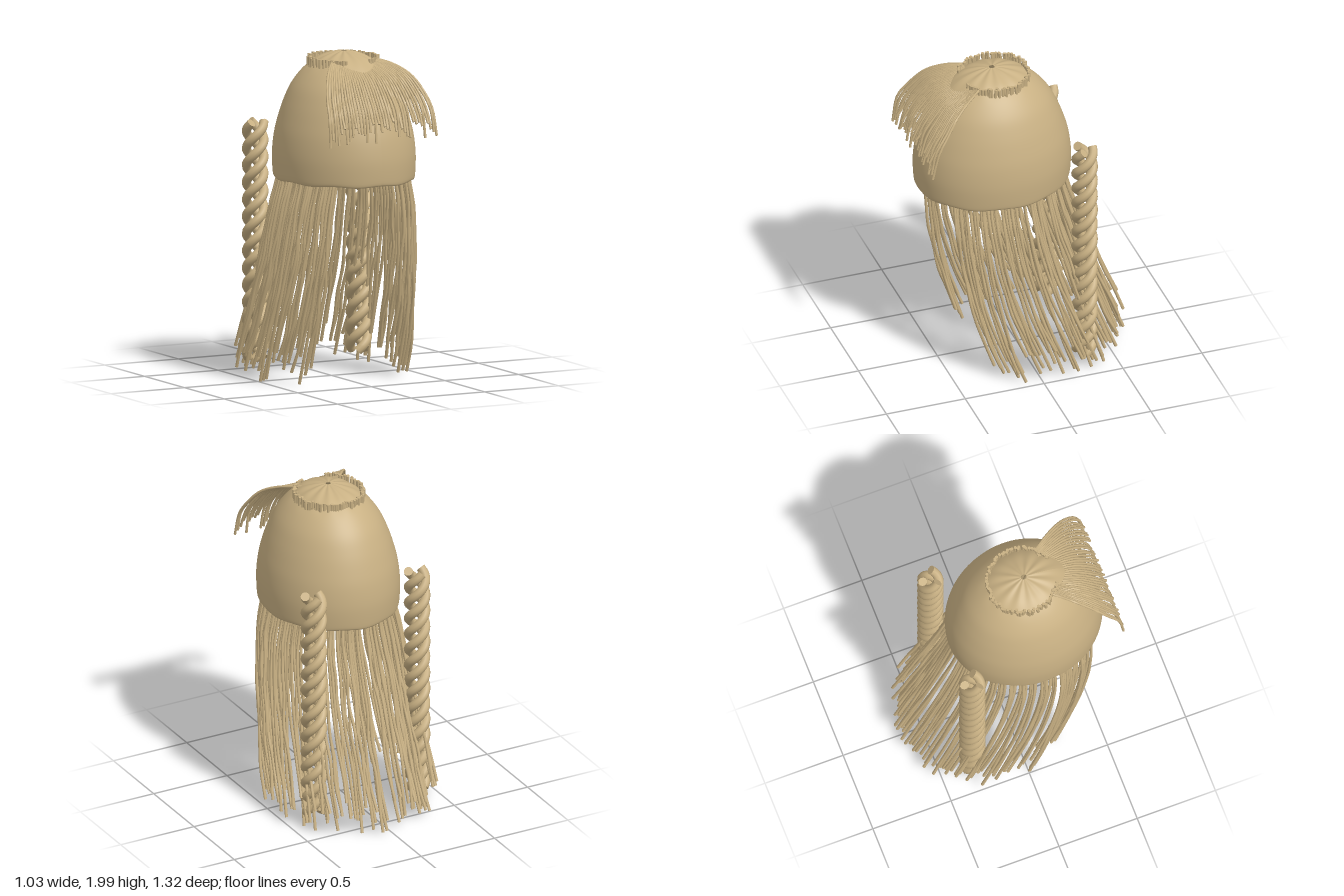
import * as THREE from 'three';
import { mergeGeometries, toCreasedNormals } from 'three/addons/utils/BufferGeometryUtils.js';

const material = new THREE.MeshStandardMaterial({ color: 0xc8b083, side: THREE.DoubleSide });
const CENTRE_Z = 0.155;
const DEPTH = 1.16; // the cap is longer front to back than it is wide

function seeded(seed) {
  let s = seed;
  return () => {
    s = (s * 16807) % 2147483647;
    return s / 2147483647;
  };
}

function mesh(name, geometry) {
  const m = new THREE.Mesh(geometry, material);
  m.name = name;
  return m;
}

// Tube with flat closed ends: the outer rings fold onto the centre of each end
function strand(points, radius, segments, sides) {
  const curve = new THREE.CatmullRomCurve3(points);
  const g = new THREE.TubeGeometry(curve, segments, radius, sides, false);
  const p = g.attributes.position;
  const ring = sides + 1;
  for (const [end, next, at] of [[0, 1, 0], [segments, segments - 1, 1]]) {
    const c = curve.getPointAt(at);
    for (let j = 0; j < ring; j++) {
      const a = end * ring + j;
      p.setXYZ(next * ring + j, p.getX(a), p.getY(a), p.getZ(a));
      p.setXYZ(a, c.x, c.y, c.z);
    }
  }
  return toCreasedNormals(g, 1.2);
}

// Domed cap with a small hole, pleats round the crown and a gently wavy rim
function makeCap() {
  const profile = new THREE.SplineCurve([
    [0.402, 1.235], [0.41, 1.26], [0.414, 1.38], [0.402, 1.5], [0.379, 1.6], [0.347, 1.7],
    [0.302, 1.8], [0.235, 1.89], [0.16, 1.955], [0.08, 1.988], [0.015, 2],
  ].map(([x, y]) => new THREE.Vector2(x, y)));
  const g = new THREE.LatheGeometry(profile.getPoints(50), 96);
  const p = g.attributes.position;
  for (let i = 0; i < p.count; i++) {
    const x = p.getX(i), y = p.getY(i), z = p.getZ(i);
    const a = Math.atan2(x, z), r = Math.hypot(x, z);
    const pleat = y > 1.8 ? 0.003 * Math.sin(Math.PI * Math.min(1, r / 0.24)) : 0;
    const rim = 0.004 * Math.max(0, 1 - (y - 1.235) / 0.08);
    p.setXYZ(i, x, y + pleat * (Math.cos(a * 12) - 1) + rim * Math.cos(a * 9), z * DEPTH + CENTRE_Z);
  }
  g.computeVertexNormals();
  return mesh('cap', g);
}

// Ring of short upright stubs round the crown, open at the front
function makeCrownStubs() {
  const rand = seeded(11);
  const parts = [];
  const count = 78;
  for (let i = 0; i < count; i++) {
    const a = 0.44 + ((i + 0.7 * (rand() - 0.5)) / (count - 1)) * (Math.PI * 2 - 0.88);
    const r = 0.203 + 0.016 * (rand() - 0.5);
    const h = 0.054 + 0.01 * rand();
    const stub = new THREE.CylinderGeometry(0.0095, 0.0095, h, 8);
    stub.rotateX((rand() - 0.5) * 0.3);
    stub.translate(Math.sin(a) * r, 1.907 + h / 2, 0.145 + Math.cos(a) * r * 1.04);
    parts.push(stub);
  }
  return mesh('crownStubs', mergeGeometries(parts));
}

// Fringe emerging through the cap below the crown and falling over the front
function makeFringe() {
  const rand = seeded(23);
  const parts = [];
  const count = 38;
  for (let i = 0; i < count; i++) {
    const u = (i / (count - 1)) * 2 - 1;
    const lift = 0.02 * u * u;
    const tip = 1.5 + 0.13 * rand();
    const inset = 0.02 * rand();
    const path = [
      [0.15, 1.935 + lift, 0.285], [0.217, 1.91 + lift, 0.375], [0.285, 1.862 + lift / 2, 0.475],
      [0.333, 1.77, 0.565 - inset / 2], [0.353, 1.68, 0.628 - inset], [0.36, tip, 0.656],
    ].map(([x, y, z]) => new THREE.Vector3(x * u, y, z));
    parts.push(strand(path, 0.008, 20, 8));
  }
  return mesh('fringe', mergeGeometries(parts));
}

// Long strands in clumps from inside the cap, sweeping back and out, open at the face
function makeLongHair() {
  const rand = seeded(37);
  const parts = [];
  const clumps = 17, perClump = 4, start = 0.66;
  for (const side of [1, -1]) {
    for (let i = 0; i < clumps * perClump; i++) {
      const within = 0.1 + 0.7 * ((i % perClump) + 0.8 * rand()) / perClump;
      const a = start + ((Math.floor(i / perClump) + within) / clumps) * (Math.PI - start);
      const r = 0.383 - 0.045 * rand();
      const x = side * Math.sin(a) * r;
      const z = Math.cos(a) * r * DEPTH + CENTRE_Z;
      const back = (1 - Math.cos(a)) / 2;
      const tip = 0.004 + 0.2 * rand() + 0.07 * back * rand();
      const sweep = 0.19 + 0.17 * back + 0.03 * (rand() - 0.5);
      const flare = 0.28 + 0.08 * rand();
      const points = [new THREE.Vector3(x, 1.42, z)];
      for (let k = 0; k <= 7; k++) {
        const t = k / 7;
        const wobble = k > 1 ? 0.014 * (rand() - 0.5) : 0;
        points.push(new THREE.Vector3(
          x * (1 + flare * Math.pow(t, 0.6)) + wobble,
          1.24 + (tip - 1.24) * t,
          z - sweep * Math.pow(t, 2.2 - 1.05 * back) + wobble,
        ));
      }
      parts.push(strand(points, 0.0095, 20, 8));
    }
  }
  return mesh('longHair', mergeGeometries(parts));
}

// Rope of three strands twisted round a hollow core
function makeTwist(name, x) {
  const parts = [];
  const top = 1.53, bottom = 0.1, pitch = 0.31, steps = 90;
  for (let s = 0; s < 3; s++) {
    const points = [];
    for (let k = 0; k <= steps; k++) {
      const y = bottom + ((top - bottom) * k) / steps;
      const a = (s / 3 - y / pitch) * Math.PI * 2;
      points.push(new THREE.Vector3(x + Math.cos(a) * 0.052, y, -0.308 + Math.sin(a) * 0.052));
    }
    parts.push(strand(points, 0.028, 140, 10));
  }
  return mesh(name, mergeGeometries(parts));
}

export function createModel() {
  const model = new THREE.Group();
  model.name = 'hair';
  model.add(
    makeCap(), makeCrownStubs(), makeFringe(), makeLongHair(),
    makeTwist('leftTwist', 0.352), makeTwist('rightTwist', -0.352),
  );
  return model;
}
